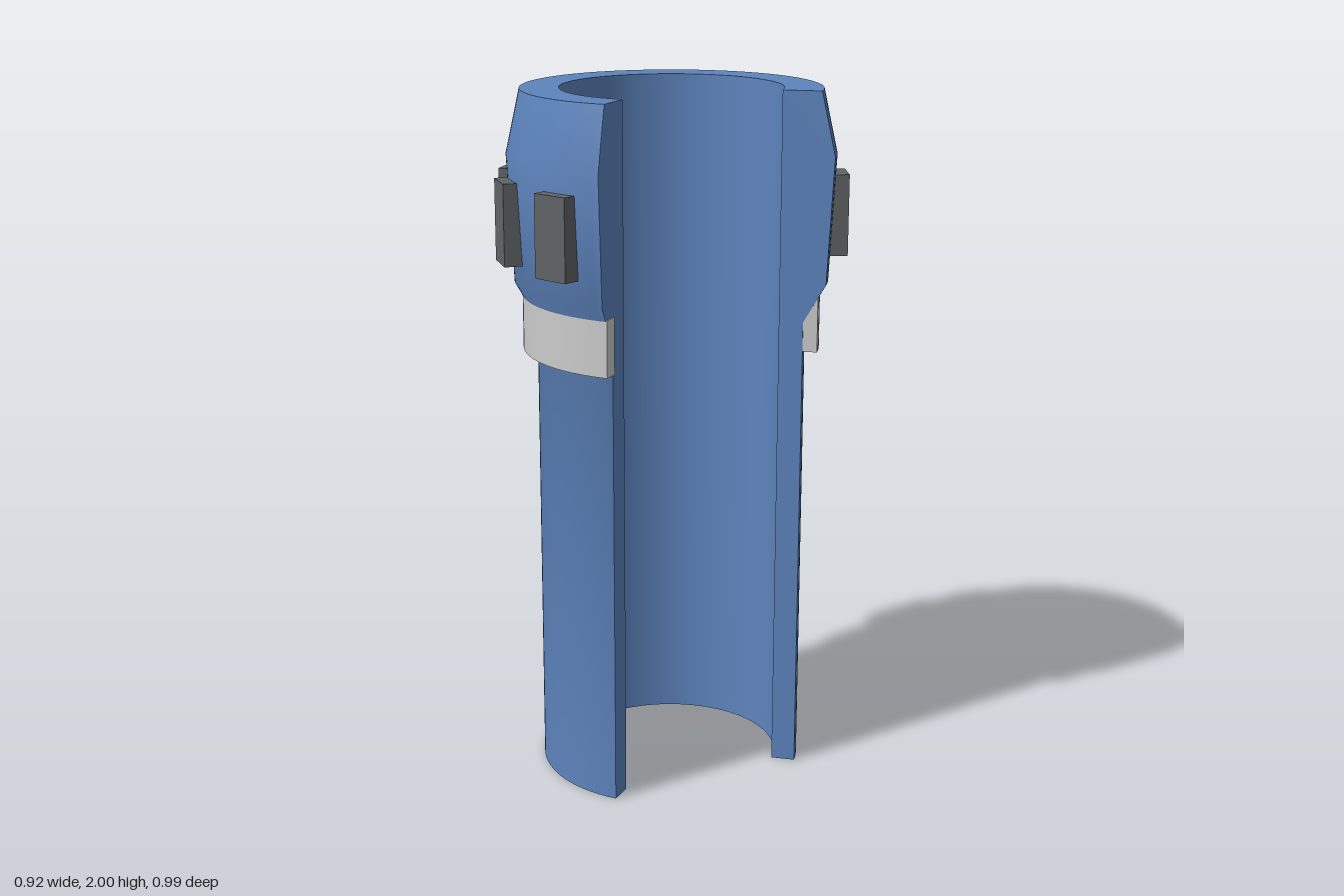
import * as THREE from 'three';
import { toCreasedNormals, mergeGeometries } from 'three/addons/utils/BufferGeometryUtils.js';

const DEG = Math.PI / 180;
const START = 115.2, SWEEP = 259.2; // open arc, degrees measured from +z towards +x

const material = (color) => new THREE.MeshStandardMaterial({ color, side: THREE.DoubleSide });

// Sweeps a closed [radius, y] profile (counterclockwise) around the open arc and caps both ends
function openRing(name, profile, mat, shift = 0) {
  const pts = profile.map(([r, y]) => new THREE.Vector2(r, y));
  const from = (START + shift) * DEG;
  const wall = new THREE.LatheGeometry([...pts, pts[0].clone()], 96, from, SWEEP * DEG);
  const cap = (angle, flip) => {
    const g = new THREE.ShapeGeometry(new THREE.Shape(pts));
    if (flip) {
      const ix = g.index.array;
      for (let i = 0; i < ix.length; i += 3) [ix[i], ix[i + 1]] = [ix[i + 1], ix[i]];
    }
    return g.rotateY(angle - Math.PI / 2);
  };
  const merged = mergeGeometries([wall, cap(from, false), cap(from + SWEEP * DEG, true)]);
  const mesh = new THREE.Mesh(toCreasedNormals(merged, 35 * DEG), mat);
  mesh.name = name;
  return mesh;
}

export function createModel() {
  const group = new THREE.Group();
  group.name = 'splitSleeve';
  const blue = material(0x5d84bd);
  const light = material(0xcccccc);
  const dark = material(0x606466);

  // Cutaway tube with a flared, tapered head
  group.add(openRing('sleeve', [
    [0.313, 0], [0.382, 0], [0.382, 1.35], [0.445, 1.46],
    [0.463, 1.82], [0.423, 2], [0.313, 2],
  ], blue));

  // Collar band beneath the head
  group.add(openRing('collarBand', [
    [0.376, 1.265], [0.423, 1.265], [0.423, 1.425], [0.376, 1.425],
  ], light, 0.4));

  // Grip blocks spaced evenly around the head
  const grips = new THREE.Group();
  grips.name = 'gripBlocks';
  const block = new THREE.BoxGeometry(0.11, 0.23, 0.065);
  const count = 8, step = SWEEP / count;
  for (let i = 0; i < count; i++) {
    const a = (START + (i + 0.5) * step) * DEG;
    const grip = new THREE.Mesh(block, dark);
    grip.name = 'gripBlock' + (i + 1);
    grip.position.set(0.463 * Math.sin(a), 1.645, 0.463 * Math.cos(a));
    grip.rotation.y = a;
    grips.add(grip);
  }
  group.add(grips);

  // The open side shifts the axis slightly off centre
  for (const part of group.children) part.position.set(0.038, 0, -0.005);
  return group;
}
